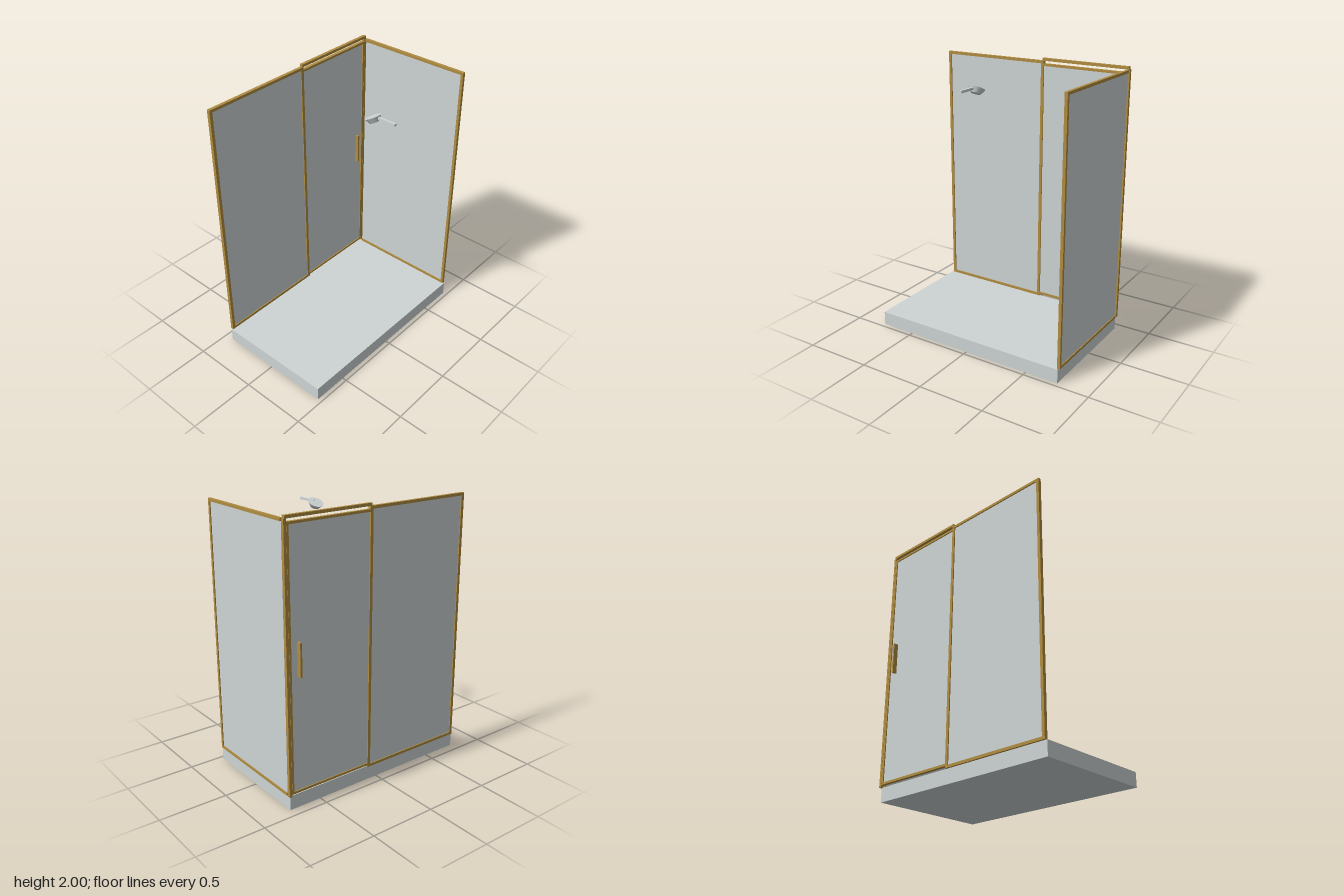
import * as THREE from 'three';

export function createModel() {
  const model = new THREE.Group();
  model.name = 'showerEnclosure';
  const brass = new THREE.MeshStandardMaterial({ color: 0xb08d42 });
  brass.name = 'brass';
  const pale = new THREE.MeshStandardMaterial({ color: 0xced5d4 });
  pale.name = 'paleGrey';

  // Box given by its limits on each axis
  function box(name, mat, [x0, x1], [y0, y1], [z0, z1], parent = model) {
    const mesh = new THREE.Mesh(new THREE.BoxGeometry(x1 - x0, y1 - y0, z1 - z0), mat);
    mesh.position.set((x0 + x1) / 2, (y0 + y1) / 2, (z0 + z1) / 2);
    mesh.name = name;
    parent.add(mesh);
    return mesh;
  }
  function group(name) {
    const g = new THREE.Group();
    g.name = name;
    model.add(g);
    return g;
  }

  // Tray
  box('tray', pale, [-0.765, 0.75], [0, 0.105], [-0.43, 0.468]);

  const depth = [-0.444, -0.42];
  const glassDepth = [-0.436, -0.428];

  // Fixed panel beside the door
  const fixed = group('fixedPanel');
  box('glass', pale, [-0.75, 0.08], [0.11, 1.97], glassDepth, fixed);
  for (const x of [-0.757, 0.068]) box('stile', brass, [x, x + 0.022], [0.105, 1.98], depth, fixed);
  for (const y of [0.105, 1.96]) box('rail', brass, [-0.745, 0.08], [y, y + 0.02], depth, fixed);

  // Sliding door
  const door = group('door');
  box('glass', pale, [0.09, 0.735], [0.125, 1.955], glassDepth, door);
  box('stile', brass, [0.725, 0.741], [0.12, 1.96], depth, door);
  for (const y of [0.12, 1.943]) box('rail', brass, [0.09, 0.73], [y, y + 0.017], depth, door);
  box('handle', brass, [0.661, 0.675], [0.955, 1.19], [-0.47, -0.4], door);

  // Corner post and header track
  box('cornerPost', brass, [0.742, 0.762], [0.105, 1.98], depth);
  box('headerTrack', brass, [0.08, 0.755], [1.98, 2.0], depth);

  // Side panel
  const side = group('sidePanel');
  const sideX = [0.74, 0.762];
  box('glass', pale, [0.747, 0.755], [0.11, 1.97], [-0.408, 0.45], side);
  box('stile', brass, sideX, [0.105, 1.98], [0.438, 0.458], side);
  for (const y of [0.105, 1.96]) box('rail', brass, sideX, [y, y + 0.02], [-0.408, 0.445], side);

  // Shower arm and tilted head
  const shower = group('shower');
  box('showerArm', pale, [-0.017, 0.0], [1.887, 1.904], [0.305, 0.468], shower);
  const head = new THREE.Mesh(new THREE.CylinderGeometry(0.057, 0.035, 0.036, 32), pale);
  head.name = 'showerHead';
  head.rotation.x = -0.48;
  head.position.set(-0.008, 1.874, 0.293);
  shower.add(head);

  return model;
}
